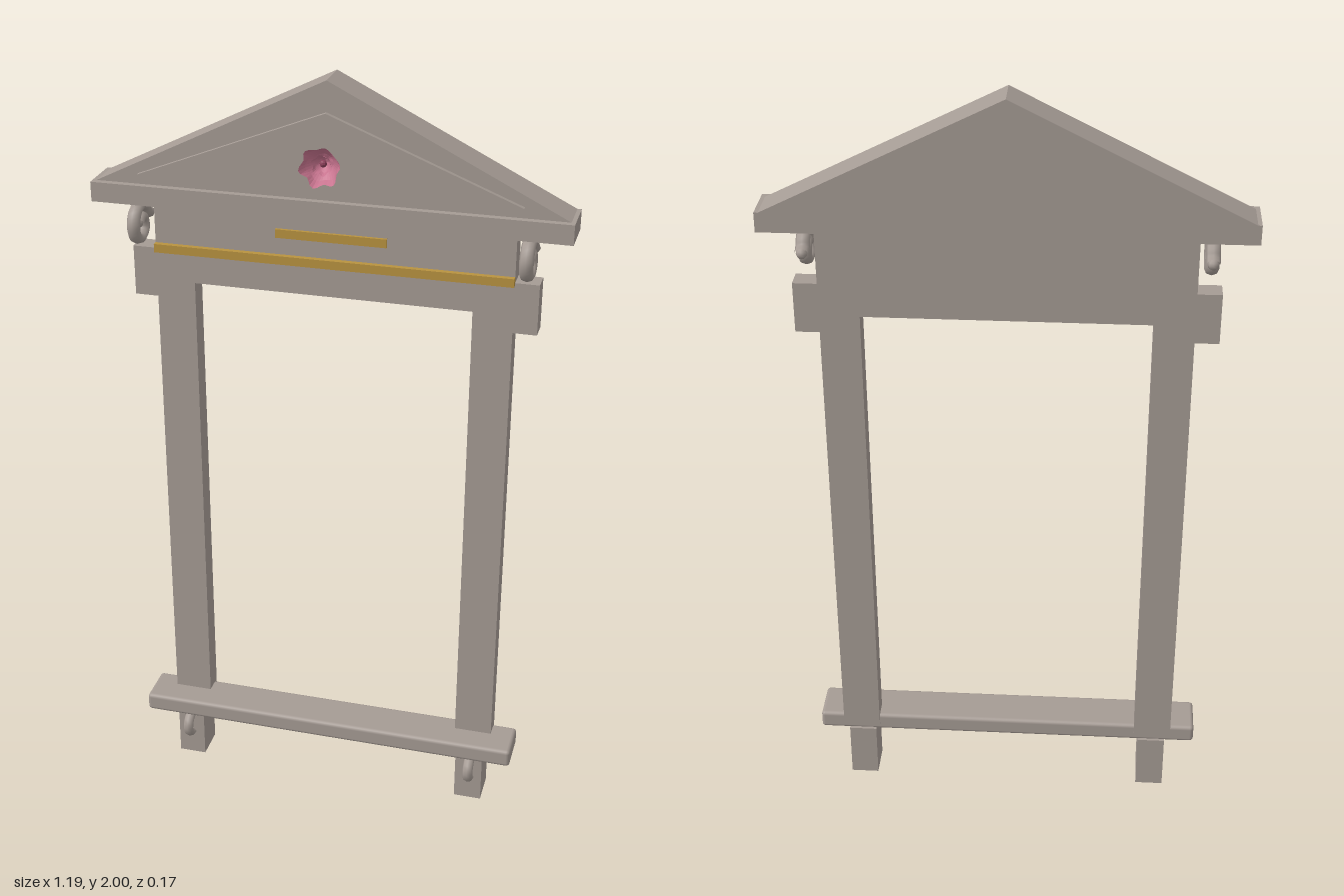
import * as THREE from 'three';
import { RoundedBoxGeometry } from 'three/addons/geometries/RoundedBoxGeometry.js';

const stone = new THREE.MeshStandardMaterial({ color: 0xa59b94 });
stone.name = 'stone';
const gold = new THREE.MeshStandardMaterial({ color: 0xb8923f });
gold.name = 'gold';
const pink = new THREE.MeshStandardMaterial({ color: 0xc8748f, side: THREE.DoubleSide, flatShading: true });
pink.name = 'pink';
const rose = new THREE.MeshStandardMaterial({ color: 0x8c3f5a, flatShading: true });
rose.name = 'dark rose';

const BACK = -0.08;

export function createModel() {
  const group = new THREE.Group();

  const add = (name, geometry, material) => {
    const mesh = new THREE.Mesh(geometry, material);
    mesh.name = name;
    group.add(mesh);
    return mesh;
  };
  // box from its min and max corners
  const box = (name, x0, x1, y0, y1, z0, z1, material = stone) =>
    add(name, new THREE.BoxGeometry(x1 - x0, y1 - y0, z1 - z0), material)
      .position.set((x0 + x1) / 2, (y0 + y1) / 2, (z0 + z1) / 2);
  // flat outline extruded from z0 to z1
  const slab = (name, points, z0, z1) => {
    const shape = new THREE.Shape(points.map(([x, y]) => new THREE.Vector2(x, y)));
    const geometry = new THREE.ExtrudeGeometry(shape, { depth: z1 - z0, bevelEnabled: false });
    add(name, geometry, stone).position.z = z0;
  };

  // window surround: posts, lintel with ears and frieze, mirrored about x = 0
  const half = [
    [0.355, 0.17], [0.455, 0.17], [0.455, 1.4], [0.515, 1.4],
    [0.515, 1.53], [0.455, 1.53], [0.455, 1.67],
  ];
  const mirrored = half.map(([x, y]) => [-x, y]).reverse();
  slab('surround', [[0.355, 1.445], ...half, ...mirrored, [-0.355, 1.445]], BACK, -0.026);

  // pediment
  box('cornice', -0.595, 0.595, 1.66, 1.71, BACK, 0.034);
  slab('gable', [[-0.595, 1.705], [0.595, 1.705], [0, 2]], BACK, 0.017);
  slab('gablePanel', [[-0.475, 1.737], [0.475, 1.737], [0, 1.925]], 0.016, 0.029);

  // gilt trim
  box('goldStrip', -0.455, 0.455, 1.523, 1.545, -0.03, -0.012, gold);
  box('goldPlaque', -0.14, 0.14, 1.59, 1.612, -0.03, -0.018, gold);

  // sill
  add('sill', new RoundedBoxGeometry(1.04, 0.05, 0.118, 2, 0.01), stone)
    .position.set(0, 0.175, -0.014);

  // curled scrolls beside the frieze, as (z, y) offsets from the coil centre
  const curl = [
    [-0.074, 0.006], [-0.056, 0.014], [-0.042, 0.032], [-0.012, 0.044], [0.02, 0.034],
    [0.034, 0.004], [0.022, -0.028], [-0.006, -0.037], [-0.03, -0.022],
    [-0.03, 0.004], [-0.012, 0.015], [0.004, 0.004],
  ];
  const path = new THREE.CatmullRomCurve3(curl.map(([z, y]) => new THREE.Vector3(0, y, z)));
  const scroll = new THREE.TubeGeometry(path, 40, 0.014, 8);
  scroll.scale(1.25, 1, 1);
  const cap = new THREE.SphereGeometry(0.014, 8, 6);

  for (const [side, s] of [['left', 1], ['right', -1]]) {
    add(side + 'Scroll', scroll, stone).position.set(s * 0.488, 1.6, 0);
    for (const [z, y] of [curl[0], curl[curl.length - 1]]) {
      add(side + 'ScrollEnd', cap, stone).position.set(s * 0.488, 1.6 + y, z);
    }
    // bracket under the sill with its small curl
    box(side + 'Bracket', s * 0.403 - 0.037, s * 0.403 + 0.037, 0, 0.155, BACK, 0.01);
    const ring = add(side + 'BracketCurl', new THREE.TorusGeometry(0.029, 0.012, 8, 18), stone);
    ring.rotation.y = Math.PI / 2;
    ring.scale.z = 1.2;
    ring.position.set(s * 0.405, 0.1, 0.006);
  }

  // flower: lobed cups opening towards the front
  const cup = (radius, depth, turn) => {
    const profile = [[0.08, 0], [0.45, 0.18], [0.75, 0.5], [0.92, 0.85]];
    const geometry = new THREE.LatheGeometry(
      profile.map(([r, d]) => new THREE.Vector2(r * radius, d * depth)), 36);
    const p = geometry.attributes.position;
    for (let i = 0; i < p.count; i++) {
      const x = p.getX(i), y = p.getY(i), z = p.getZ(i);
      const wave = Math.cos(6 * Math.atan2(z, x)) * (y / depth);
      p.setXYZ(i, x * (1 + 0.12 * wave), y + 0.1 * depth * wave, z * (1 + 0.12 * wave));
    }
    geometry.rotateY(turn);
    geometry.rotateX(Math.PI / 2);
    geometry.computeVertexNormals();
    return geometry;
  };
  add('flowerPetals', cup(0.051, 0.058, 0.2), pink).position.set(0, 1.81, 0.029);
  add('innerPetals', cup(0.026, 0.035, 0.7), pink).position.set(0, 1.81, 0.031);
  add('flowerCentre', new THREE.SphereGeometry(0.009, 8, 6), rose).position.set(0, 1.81, 0.045);

  return group;
}
